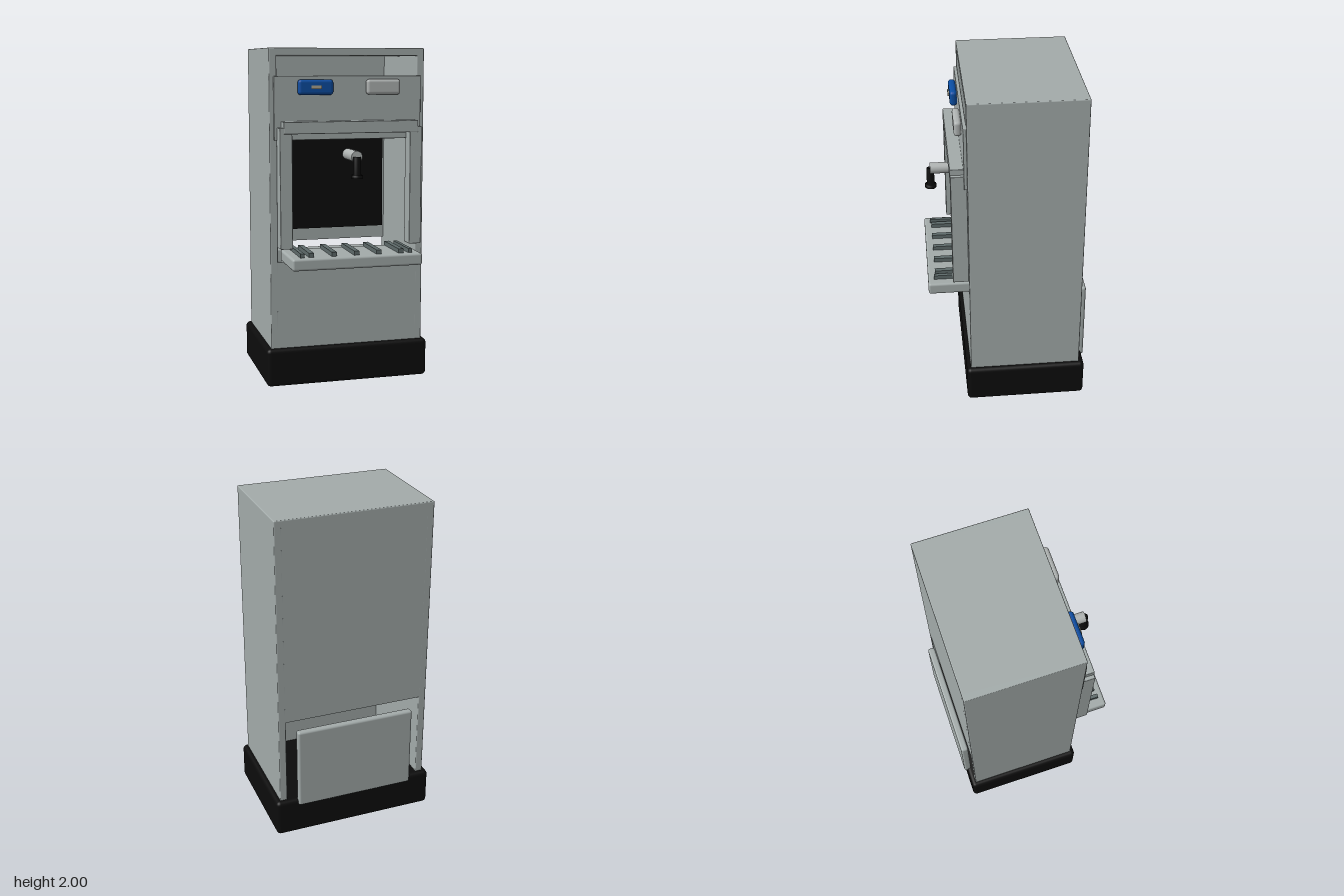
import * as THREE from 'three';
import { RoundedBoxGeometry } from 'three/addons/geometries/RoundedBoxGeometry.js';

export function createModel() {
  const model = new THREE.Group();
  model.name = 'drinkDispenser';

  const material = (name, color) => {
    const m = new THREE.MeshStandardMaterial({ color });
    m.name = name;
    return m;
  };
  const bodyGrey = material('bodyGrey', 0xa3abaa);
  const black = material('black', 0x0c0c0c);
  const blue = material('blue', 0x0b4da2);
  const paleGrey = material('paleGrey', 0xafb3b2);
  const darkGrey = material('darkGrey', 0x5f6b6b);
  const tan = material('tan', 0xb0a892);

  const add = (name, geometry, mat, x = 0, y = 0, z = 0, parent = model) => {
    const mesh = new THREE.Mesh(geometry, mat);
    mesh.name = name;
    mesh.position.set(x, y, z);
    parent.add(mesh);
    return mesh;
  };
  // Box given by its limits, with rounded edges when r > 0
  const box = (name, mat, [x0, x1], [y0, y1], [z0, z1], r = 0, parent = model) => {
    const size = [x1 - x0, y1 - y0, z1 - z0];
    const geometry = r ? new RoundedBoxGeometry(...size, 3, r) : new THREE.BoxGeometry(...size);
    return add(name, geometry, mat, (x0 + x1) / 2, (y0 + y1) / 2, (z0 + z1) / 2, parent);
  };

  // Plinth
  box('base', black, [-0.5, 0.5], [0, 0.23], [-0.46, 0.265], 0.025);

  // Hollow cabinet, open at the upper front and the lower back
  const cabinet = new THREE.Group();
  cabinet.name = 'cabinet';
  model.add(cabinet);
  for (const [side, s] of [['left', 1], ['right', -1]]) {
    const xs = s > 0 ? [0.425, 0.47] : [-0.47, -0.425];
    box(side + 'Wall', bodyGrey, xs, [0.2, 2], [-0.43, 0.24], 0.006, cabinet);
  }
  box('topWall', bodyGrey, [-0.465, 0.465], [1.955, 2], [-0.43, 0.24], 0.006, cabinet);
  box('lowerFrontWall', bodyGrey, [-0.43, 0.43], [0.2, 0.75], [0.197, 0.24], 0, cabinet);
  box('backWall', bodyGrey, [-0.43, 0.43], [0.765, 1.98], [-0.43, -0.392], 0, cabinet);

  // Service hatch at the back
  box('rearHatch', bodyGrey, [-0.365, 0.365], [0.195, 0.705], [-0.475, -0.43], 0.014);

  // Control panel with its two buttons
  box('controlPanel', bodyGrey, [-0.445, 0.445], [1.47, 1.84], [0.236, 0.258], 0.005);
  box('blueButton', blue, [-0.31, -0.1], [1.73, 1.82], [0.257, 0.3], 0.019);
  box('paleButton', paleGrey, [0.1, 0.307], [1.73, 1.82], [0.257, 0.3], 0.019);
  box('buttonMark', tan, [-0.235, -0.173], [1.765, 1.785], [0.299, 0.308]);

  // Frame around the serving niche
  const frame = new THREE.Group();
  frame.name = 'nicheFrame';
  model.add(frame);
  for (const s of [-1, 1]) {
    const xs = s > 0 ? [0.355, 0.428] : [-0.428, -0.355];
    box('framePost', bodyGrey, xs, [0.843, 1.545], [0.24, 0.333], 0.004, frame);
  }
  box('frameTopBar', bodyGrey, [-0.405, 0.405], [1.51, 1.58], [0.24, 0.335], 0.004, frame);
  box('nicheBackPanel', black, [-0.37, 0.37], [0.865, 1.5], [-0.27, -0.25]);

  // Drip tray with ribs
  box('dripTray', bodyGrey, [-0.39, 0.39], [0.74, 0.81], [0.14, 0.478], 0.014);
  for (const [x, w, zEnd] of [[0, 0.03, 0.435], [0.135, 0.03, 0.435], [0.27, 0.03, 0.435], [0.325, 0.022, 0.442]]) {
    for (const s of x ? [-1, 1] : [1]) {
      box('trayRib', darkGrey, [s * x - w / 2, s * x + w / 2], [0.805, 0.835], [0.16, zEnd]);
    }
  }

  // Tap: horizontal spout and black nozzle
  const spout = add('tapSpout', new THREE.CylinderGeometry(0.033, 0.033, 0.195, 24), paleGrey, 0, 1.382, 0.3375);
  spout.rotation.x = Math.PI / 2;
  const nozzleProfile = [[0, 0], [0.034, 0], [0.034, 0.02], [0.023, 0.02], [0.023, 0.125], [0, 0.125]]
    .map(([r, y]) => new THREE.Vector2(r, y));
  const nozzle = new THREE.LatheGeometry(nozzleProfile, 24);
  add('tapNozzle', nozzle, black, 0, 1.257, 0.433);

  return model;
}
